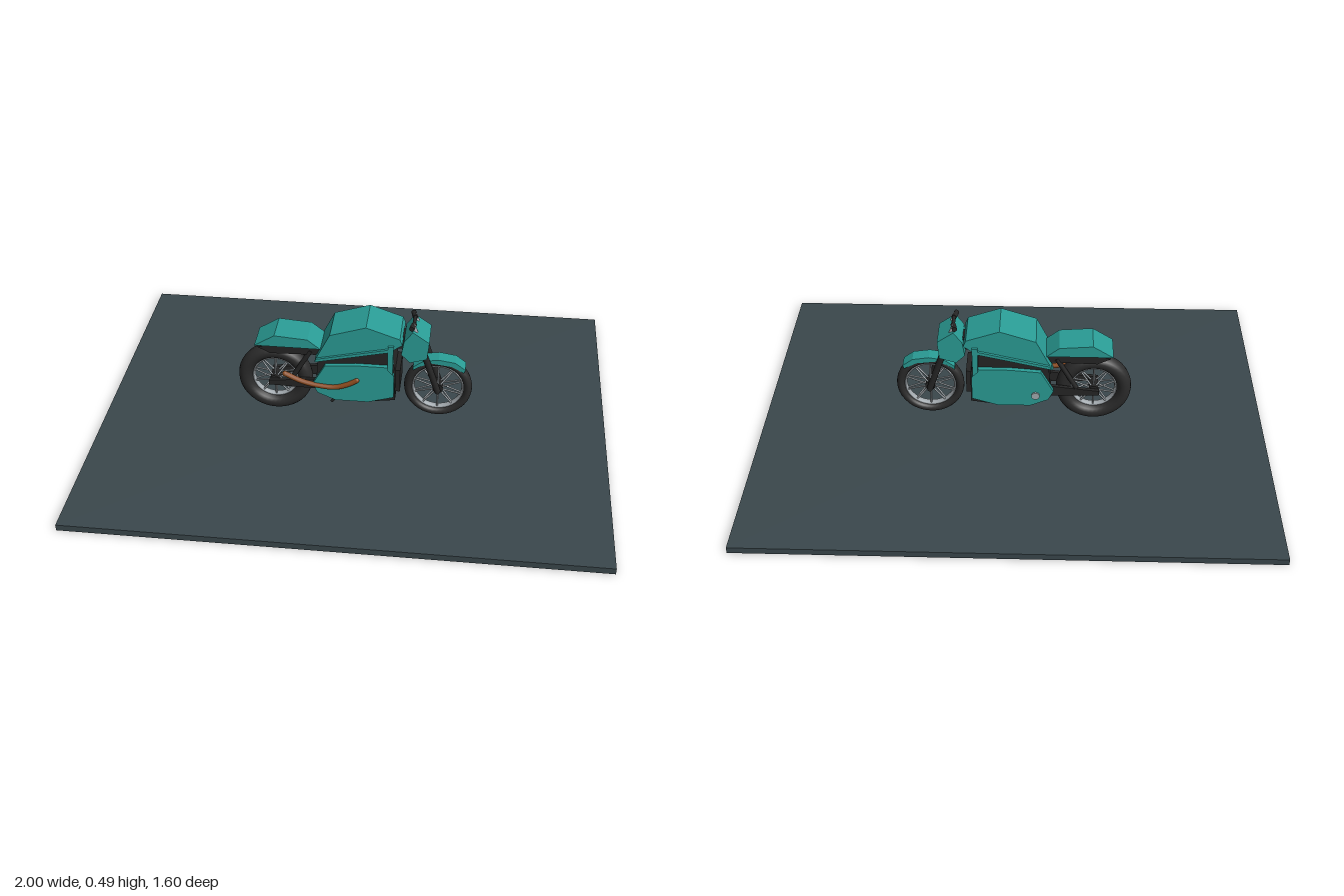
import * as THREE from 'three';

export function createModel() {
  const model = new THREE.Group();
  const mat = (name, color, flatShading = false) => {
    const m = new THREE.MeshStandardMaterial({ color });
    m.name = name;
    m.flatShading = flatShading;
    return m;
  };
  const teal = mat('teal paint', 0x2a9d96);
  const dark = mat('dark metal', 0x252525);
  const rubber = mat('tyre rubber', 0x2b2b2b);
  const silver = mat('silver metal', 0xa4abb0);
  const copper = mat('copper exhaust', 0x8b4a1c);
  const slate = mat('slate base', 0x3a474c);

  const add = (name, geometry, material, x = 0, y = 0, z = 0, parent = model) => {
    const mesh = new THREE.Mesh(geometry, material);
    mesh.name = name;
    mesh.position.set(x, y, z);
    parent.add(mesh);
    return mesh;
  };
  // Side profile extruded across z, from z0 to z1
  const plate = (name, points, z0, z1, material) => {
    const shape = new THREE.Shape(points.map(p => new THREE.Vector2(...p)));
    const geo = new THREE.ExtrudeGeometry(shape, { depth: z1 - z0, bevelEnabled: false });
    return add(name, geo, material, 0, 0, z0);
  };
  // Round bar between two points
  const bar = (name, a, b, r, material, parent = model) => {
    const p = new THREE.Vector3(...a), q = new THREE.Vector3(...b);
    const d = q.clone().sub(p);
    const mesh = add(name, new THREE.CylinderGeometry(r, r, d.length(), 12), material, 0, 0, 0, parent);
    mesh.position.copy(p).add(q).multiplyScalar(0.5);
    mesh.quaternion.setFromUnitVectors(new THREE.Vector3(0, 1, 0), d.normalize());
    return mesh;
  };

  // Display base
  add('base', new THREE.BoxGeometry(2, 0.025, 1.6), slate, 0, 0.0125, 0);

  // Wheels: tyre, rim, hub, brake disc and spokes
  const wheel = (name, x, y, outer, inner, half, spokes) => {
    const g = new THREE.Group();
    g.name = name;
    g.position.set(x, y, 0);
    model.add(g);
    const tube = (outer - inner) / 2;
    add('tyre', new THREE.TorusGeometry(inner + tube, tube, 14, 40), rubber, 0, 0, 0, g).scale.z = half / tube;
    add('rim', new THREE.TorusGeometry(inner - 0.001, 0.006, 8, 40), silver, 0, 0, 0, g).scale.z = 2.5;
    add('hub', new THREE.CylinderGeometry(0.02, 0.02, half * 2, 16), dark, 0, 0, 0, g).rotation.x = Math.PI / 2;
    for (let i = 0; i < spokes; i++) {
      const a = (i + 0.5) / spokes * Math.PI * 2;
      const c = Math.cos(a), s = Math.sin(a);
      for (const side of [-1, 1]) {
        bar('spoke', [c * 0.012, s * 0.012, side * half * 0.6], [c * inner, s * inner, side * 0.006], 0.0035, silver, g);
      }
    }
  };
  wheel('rearWheel', -0.32, 0.18, 0.15, 0.09, 0.035, 10);
  wheel('frontWheel', 0.33, 0.18, 0.135, 0.1, 0.025, 10);

  // Tank, seat and nose bodywork
  plate('tank', [[-0.15, 0.32], [0.15, 0.385], [0.19, 0.415], [0.18, 0.44], [0.05, 0.485], [-0.09, 0.44]],
    -0.083, 0.083, teal);
  plate('seatTail', [[-0.39, 0.36], [-0.13, 0.36], [-0.18, 0.4], [-0.31, 0.41]], -0.064, 0.064, teal);
  plate('underSeat', [[-0.38, 0.345], [-0.33, 0.32], [-0.15, 0.325], [-0.12, 0.36], [-0.32, 0.36]],
    -0.052, 0.052, dark);
  plate('noseFairing', [[0.185, 0.36], [0.22, 0.325], [0.285, 0.345], [0.292, 0.42], [0.228, 0.465], [0.195, 0.42]],
    -0.066, 0.066, teal);
  plate('headstock', [[0.12, 0.36], [0.24, 0.37], [0.24, 0.42], [0.14, 0.42]], -0.03, 0.03, dark);

  // Engine block and radiator
  plate('engine', [[-0.15, 0.17], [-0.07, 0.135], [0.06, 0.13], [0.165, 0.145], [0.165, 0.28], [0.14, 0.385], [-0.14, 0.325]],
    -0.07, 0.07, dark);
  add('radiator', new THREE.BoxGeometry(0.02, 0.1, 0.13), dark, 0.173, 0.235, 0);

  // Side panels, frame struts, swing arm and forks, mirrored
  const panel = [[-0.16, 0.21], [-0.14, 0.17], [-0.07, 0.14], [0.06, 0.14], [0.16, 0.17], [0.16, 0.27],
    [0.135, 0.31], [0.01, 0.31], [-0.11, 0.3]];
  const strut = [[0.135, 0.3], [0.155, 0.28], [0.157, 0.41], [0.135, 0.41]];
  const trim = [[-0.15, 0.318], [0.145, 0.385], [0.145, 0.398], [-0.145, 0.332]];
  for (const s of [-1, 1]) {
    const mirrored = (name, pts, inner, outer, m) =>
      plate(name, pts, s > 0 ? inner : -outer, s > 0 ? outer : -inner, m);
    mirrored('sidePanel', panel, 0.068, 0.088, teal);
    mirrored('frameStrut', strut, 0.07, 0.093, teal);
    mirrored('tankRail', trim, 0.08, 0.093, teal);
    mirrored('swingArm', [[-0.34, 0.17], [-0.12, 0.165], [-0.12, 0.215], [-0.34, 0.19]], 0.04, 0.055, dark);
    bar('shock', [-0.25, 0.2, s * 0.045], [-0.17, 0.34, s * 0.045], 0.01, dark);
    bar('forkTube', [0.225, 0.485, s * 0.041], [0.285, 0.325, s * 0.041], 0.009, silver);
    bar('forkLower', [0.275, 0.345, s * 0.041], [0.33, 0.18, s * 0.041], 0.013, dark);
    bar('handleGrip', [0.23, 0.478, s * 0.025], [0.222, 0.478, s * 0.062], 0.01, dark);
  }
  bar('handlebar', [0.23, 0.478, -0.03], [0.23, 0.478, 0.03], 0.007, dark);
  bar('frontAxle', [0.33, 0.18, -0.05], [0.33, 0.18, 0.05], 0.009, dark);
  bar('rearAxle', [-0.32, 0.18, -0.055], [-0.32, 0.18, 0.055], 0.009, dark);

  // Front fender
  plate('frontFender', [[0.23, 0.265], [0.26, 0.285], [0.3, 0.302], [0.38, 0.292], [0.43, 0.265], [0.435, 0.28],
    [0.395, 0.31], [0.33, 0.32], [0.27, 0.31], [0.23, 0.28]], -0.028, 0.028, teal);

  // Exhaust on the left-hand side of the body, engine cover opposite
  const path = new THREE.CatmullRomCurve3([[-0.27, 0.245, 0.078], [-0.2, 0.218, 0.085], [-0.13, 0.205, 0.088],
    [-0.07, 0.203, 0.089], [-0.02, 0.22, 0.089], [0.015, 0.24, 0.086]].map(p => new THREE.Vector3(...p)));
  add('exhaust', new THREE.TubeGeometry(path, 24, 0.011, 10), copper);
  for (const t of [0, 1]) {
    const p = path.getPoint(t);
    add('exhaustCap', new THREE.SphereGeometry(0.011, 10, 8), copper, p.x, p.y, p.z);
  }
  add('engineCover', new THREE.CylinderGeometry(0.016, 0.016, 0.012, 16), silver, -0.09, 0.19, -0.089).rotation.x = Math.PI / 2;
  bar('sideStand', [-0.06, 0.145, 0.042], [-0.09, 0.1, 0.045], 0.006, dark);

  return model;
}
